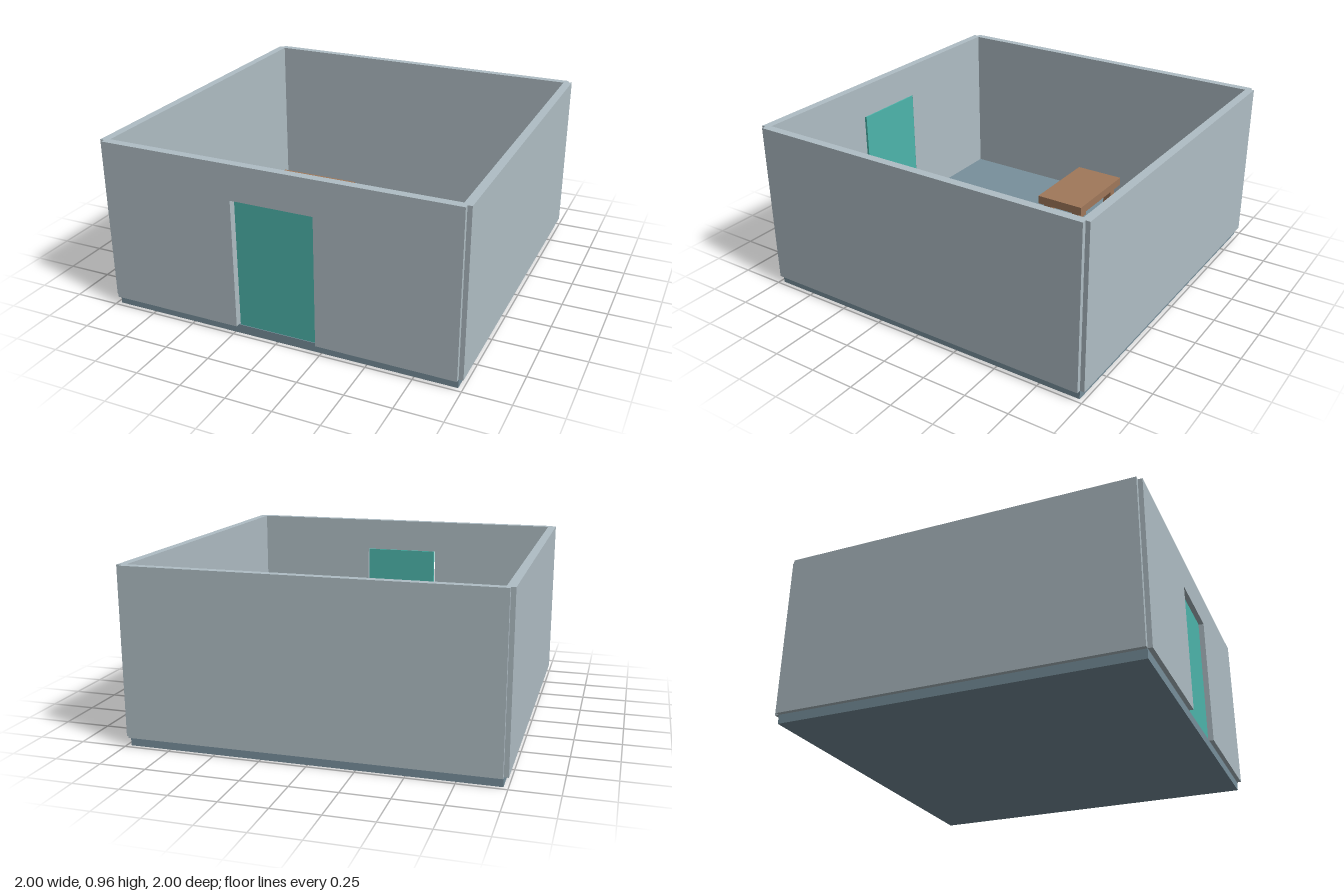
import * as THREE from 'three';

export function createModel() {
  const room = new THREE.Group();
  room.name = 'room';

  const mat = (name, color) => {
    const m = new THREE.MeshStandardMaterial({ color });
    m.name = name;
    return m;
  };
  const wallPaint = mat('wall pale grey', 0xb0bec5);
  const floorGrey = mat('floor slate grey', 0x78909c);
  const doorTeal = mat('door teal', 0x4db6ac);
  const wood = mat('table wood', 0xa0785a);

  // Box given by its minimum and maximum corners
  const box = (name, material, [x0, y0, z0], [x1, y1, z1], parent = room) => {
    const mesh = new THREE.Mesh(new THREE.BoxGeometry(x1 - x0, y1 - y0, z1 - z0), material);
    mesh.position.set((x0 + x1) / 2, (y0 + y1) / 2, (z0 + z1) / 2);
    mesh.name = name;
    parent.add(mesh);
    return mesh;
  };

  const edge = 0.976;                 // floor half size, also half length of each wall
  const inner = 0.954, outer = 1;     // wall faces
  const base = 0.05, top = 0.962;     // wall bottom and top

  // Floor slab
  box('floor', floorGrey, [-edge, 0, -edge], [edge, base, edge]);

  // Plain walls, leaving small notches at the corners
  box('backWall', wallPaint, [-edge, base, -outer], [edge, top, -inner]);
  box('leftWall', wallPaint, [inner, base, -edge], [outer, top, edge]);
  box('rightWall', wallPaint, [-outer, base, -edge], [-inner, top, edge]);

  // Front wall with the doorway cut out
  const doorway = 0.227, lintel = 0.769;
  const outline = new THREE.Shape([
    [-edge, base], [-doorway, base], [-doorway, lintel], [doorway, lintel],
    [doorway, base], [edge, base], [edge, top], [-edge, top],
  ].map(([x, y]) => new THREE.Vector2(x, y)));
  const frontWall = new THREE.Mesh(
    new THREE.ExtrudeGeometry(outline, { depth: outer - inner, bevelEnabled: false }), wallPaint);
  frontWall.position.z = inner;
  frontWall.name = 'frontWall';
  room.add(frontWall);

  // Door panel, standing slightly proud of the inside wall face
  box('door', doorTeal, [-0.219, base, 0.948], [0.219, lintel - 0.001, 0.972]);

  // Table with four square legs
  const table = new THREE.Group();
  table.name = 'table';
  table.position.set(-0.393, base, -0.184);
  room.add(table);
  const halfX = 0.244, halfZ = 0.146, legHeight = 0.258, legHalf = 0.024, inset = 0.049;
  box('tableTop', wood, [-halfX, legHeight, -halfZ], [halfX, legHeight + 0.049, halfZ], table);
  for (const sx of [-1, 1]) {
    for (const sz of [-1, 1]) {
      const x = sx * (halfX - inset), z = sz * (halfZ - inset);
      box('tableLeg', wood, [x - legHalf, 0, z - legHalf], [x + legHalf, legHeight, z + legHalf], table);
    }
  }

  return room;
}
